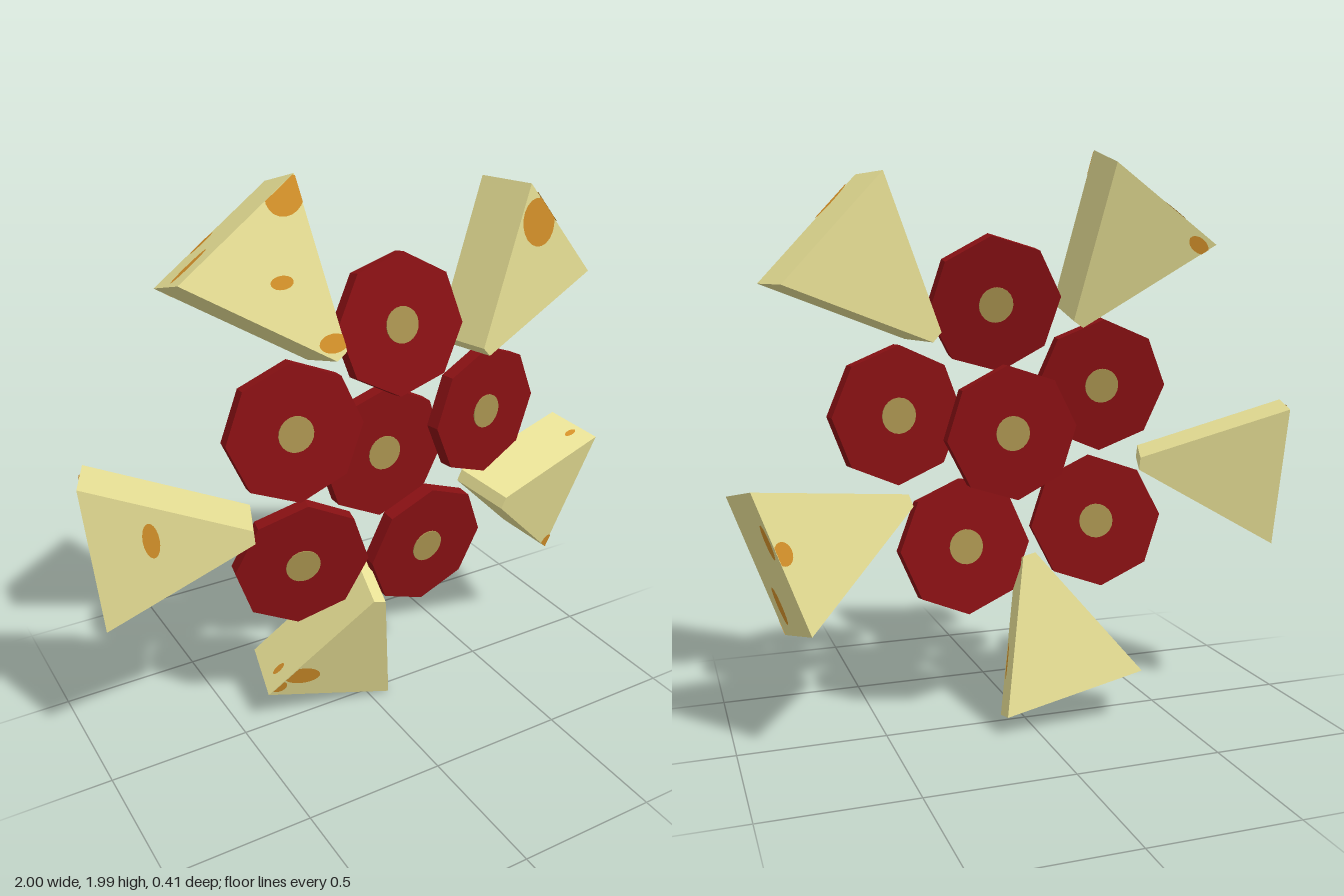
import * as THREE from 'three';

const W = 0.495, TIP = 0.045, H = 0.505, D = 0.21;   // wedge base, tip, length, thickness
const V = (x, y, z) => new THREE.Vector3(x, y, z);

const mat = (name, color, extra = {}) =>
  Object.assign(new THREE.MeshStandardMaterial({ color, ...extra }), { name });

// Keep the part of a polygon inside a convex counter-clockwise region
function clip(points, region) {
  region.forEach((a, i) => {
    const b = region[(i + 1) % region.length];
    const side = p => (b.x - a.x) * (p.y - a.y) - (b.y - a.y) * (p.x - a.x);
    const out = [];
    points.forEach((p, j) => {
      const q = points[(j + 1) % points.length], sp = side(p), sq = side(q);
      if (sp >= 0) out.push(p);
      if (sp * sq < 0) out.push(p.clone().lerp(q, sp / (sp - sq)));
    });
    points = out;
  });
  return points;
}

const poly = pairs => pairs.map(([x, y]) => new THREE.Vector2(x, y));
const trapezoid = poly([[-W / 2, 0], [W / 2, 0], [TIP / 2, H], [-TIP / 2, H]]);
const inset = (W - TIP) / 2, sideLen = Math.hypot(inset, H);
const sideRect = poly([[0, 0], [sideLen, 0], [sideLen, D], [0, D]]);
const cx = inset / sideLen, cy = H / sideLen;

// Wedge faces: origin, in-plane axes, outward normal and outline
const faces = {
  front: { o: V(0, 0, 0), u: V(1, 0, 0), v: V(0, 1, 0), n: V(0, 0, -1), region: trapezoid },
  back: { o: V(0, 0, D), u: V(1, 0, 0), v: V(0, 1, 0), n: V(0, 0, 1), region: trapezoid },
  outer: { o: V(0, 0, 0), u: V(1, 0, 0), v: V(0, 0, 1), n: V(0, -1, 0),
    region: poly([[-W / 2, 0], [W / 2, 0], [W / 2, D], [-W / 2, D]]) },
  sideP: { o: V(-W / 2, 0, 0), u: V(cx, cy, 0), v: V(0, 0, 1), n: V(-cy, cx, 0), region: sideRect },
  sideQ: { o: V(W / 2, 0, 0), u: V(-cx, cy, 0), v: V(0, 0, 1), n: V(cy, cx, 0), region: sideRect },
};

// Thin elliptical spot, trimmed to its face
function makeSpot([faceName, x, y, rx, ry, angle = 0], material) {
  const f = faces[faceName];
  const ellipse = new THREE.EllipseCurve(x, y, rx, ry, 0, Math.PI * 2, false, angle);
  const outline = clip(ellipse.getPoints(20).slice(0, -1), f.region);
  const spot = new THREE.Mesh(new THREE.ShapeGeometry(new THREE.Shape(outline)), material);
  const basis = new THREE.Matrix4().makeBasis(f.u, f.v, f.u.clone().cross(f.v));
  spot.quaternion.setFromRotationMatrix(basis);
  spot.position.copy(f.o).addScaledVector(f.n, 0.003);
  spot.name = 'wedgeSpot';
  return spot;
}

// Front-face outer corners p and q, tip centre t, then spots
const wedges = [
  { name: 'upperRightWedge', p: [-0.68, 1.73, 0.12], q: [-0.27, 1.99, 0.045], t: [-0.2, 1.455, 0.2],
    spots: [['front', 0.18, 0.026, 0.068, 0.06], ['front', 0, 0.207, 0.038, 0.021, 0.59],
      ['front', 0.005, 0.455, 0.05, 0.03, 0.59], ['back', -0.19, 0.04, 0.045, 0.025],
      ['outer', -0.16, 0.08, 0.075, 0.018], ['outer', -0.05, 0.185, 0.05, 0.013]] },
  { name: 'upperLeftWedge', p: [0.54, 1.895, 0.14], q: [0.88, 1.535, 0.065], t: [0.357, 1.365, 0.19],
    spots: [['front', -0.12, 0.06, 0.09, 0.075], ['outer', -0.12, 0, 0.08, 0.022]] },
  { name: 'leftWedge', p: [1.0, 0.86, 0.055], q: [0.83, 0.395, 0], t: [0.455, 0.77, 0.195],
    spots: [['front', 0.23, 0.015, 0.04, 0.035], ['outer', -0.08, 0.185, 0.06, 0.018],
      ['outer', 0.14, 0.065, 0.068, 0.018], ['back', -0.03, 0.02, 0.04, 0.03],
      ['sideP', 0.06, 0.08, 0.03, 0.012]] },
  { name: 'bottomWedge', p: [0.075, 0.005, 0.05], q: [-0.405, 0.135, 0], t: [-0.06, 0.525, 0.2],
    spots: [['front', 0.155, 0.11, 0.07, 0.042], ['front', 0.225, 0.05, 0.03, 0.03],
      ['sideP', 0.19, 0.06, 0.07, 0.017], ['outer', -0.08, 0.1, 0.06, 0.015],
      ['sideQ', 0.08, 0.06, 0.03, 0.012]] },
  { name: 'rightWedge', p: [-0.97, 0.615, 0.04], q: [-1.0, 1.115, -0.01], t: [-0.525, 0.905, 0.195],
    spots: [['front', 0.045, 0.19, 0.06, 0.026], ['outer', 0.02, 0.155, 0.055, 0.018],
      ['outer', 0.235, 0.12, 0.02, 0.02]] },
];

// Octagonal discs: centre and horizontal/vertical tilt of the front normal
const discs = [
  { at: [0.09, 1.47, 0.06], tilt: [0, 0.2], spin: -0.12 },
  { at: [-0.31, 1.18, 0.075], tilt: [-0.1, 0.1], spin: 0 },
  { at: [0.035, 1.025, 0.045], tilt: [0, 0], spin: -0.08 },
  { at: [0.435, 1.1, 0.065], tilt: [0.18, 0], spin: 0.02 },
  { at: [-0.29, 0.69, 0.065], tilt: [-0.18, -0.1], spin: -0.06 },
  { at: [0.2, 0.63, 0.07], tilt: [0.06, -0.12], spin: 0 },
];

export function createModel() {
  const model = new THREE.Group();
  model.name = 'wedgesAndDiscs';
  const cream = mat('cream', 0xece498);
  const amber = mat('amber', 0xd4912a, { side: THREE.DoubleSide });
  const darkRed = mat('darkRed', 0x881013, { flatShading: true });
  const olive = mat('olive', 0xa8924f, { flatShading: true });

  // Blunt-tipped wedges pointing inwards
  const wedgeGeo = new THREE.ExtrudeGeometry(new THREE.Shape(trapezoid), { depth: D, bevelEnabled: false });
  for (const w of wedges) {
    const p = V(...w.p), q = V(...w.q), t = V(...w.t);
    const mid = p.clone().lerp(q, 0.5);
    const ex = q.clone().sub(p).normalize();
    const ez = ex.clone().cross(t.sub(mid)).normalize();
    const ey = ez.clone().cross(ex);
    const group = new THREE.Group();
    group.name = w.name;
    group.quaternion.setFromRotationMatrix(new THREE.Matrix4().makeBasis(ex, ey, ez));
    group.position.copy(mid);
    const body = new THREE.Mesh(wedgeGeo, cream);
    body.name = 'wedgeBody';
    group.add(body, ...w.spots.map(s => makeSpot(s, amber)));
    model.add(group);
  }

  // Discs with a round centre showing on both sides
  const discGeo = new THREE.CylinderGeometry(0.236, 0.236, 0.05, 8).rotateX(Math.PI / 2);
  const centreGeo = new THREE.CylinderGeometry(0.061, 0.061, 0.057, 20).rotateX(Math.PI / 2);
  for (const d of discs) {
    const group = new THREE.Group();
    group.name = 'disc';
    const normal = V(d.tilt[0], d.tilt[1], 1).normalize();
    group.quaternion.setFromUnitVectors(V(0, 0, 1), normal);
    group.position.set(...d.at);
    const plate = new THREE.Mesh(discGeo, darkRed);
    plate.name = 'discPlate';
    plate.rotation.z = d.spin;
    const centre = new THREE.Mesh(centreGeo, olive);
    centre.name = 'discCentre';
    group.add(plate, centre);
    model.add(group);
  }
  return model;
}
